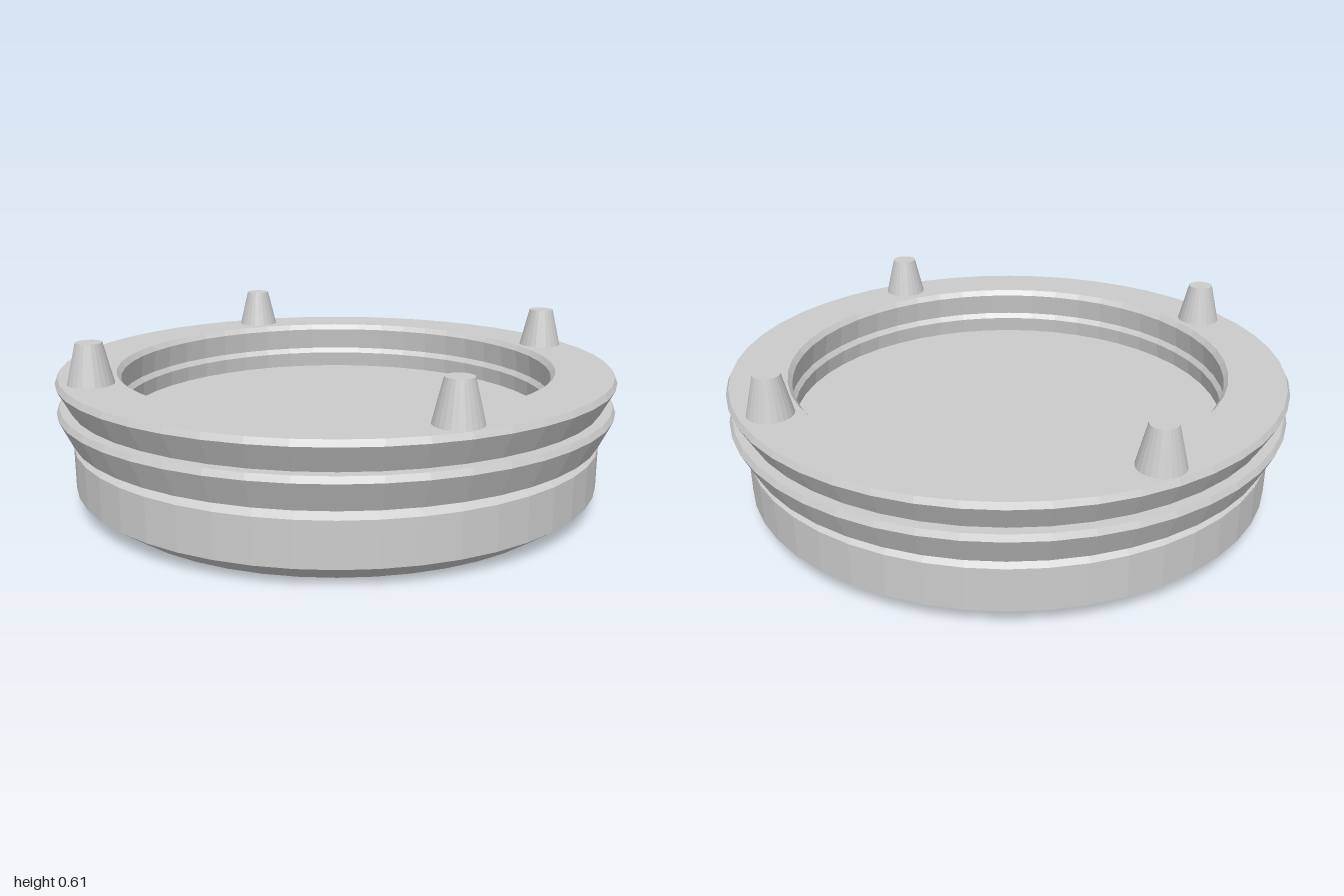
import * as THREE from 'three';

const SEGMENTS = 48;

// Faceted solid of revolution from [radius, height] pairs, listed upwards along the outside
function turned(name, profile, material) {
  const points = profile.map(([r, y]) => new THREE.Vector2(r, y));
  const mesh = new THREE.Mesh(new THREE.LatheGeometry(points, SEGMENTS), material);
  mesh.name = name;
  return mesh;
}

export function createModel() {
  const group = new THREE.Group();
  group.name = 'studdedDish';
  const material = new THREE.MeshStandardMaterial({ color: 0xcccccc, flatShading: true });

  // Solid base disc, chamfered at both edges
  group.add(turned('base', [
    [0, 0], [0.86, 0], [0.95, 0.065], [0.95, 0.215], [0.86, 0.28], [0, 0.28],
  ], material));

  // Two stacked rings, bevelled on top and tapering in towards the bottom
  const ringTops = [0.36, 0.465];
  ringTops.forEach((top, i) => {
    const bottom = top - 0.115 + i * 0.01;
    group.add(turned(i ? 'upperRing' : 'lowerRing', [
      [0.787, bottom], [0.955, bottom], [1, top - 0.02], [0.99, top],
      [0.79, top], [0.775, top - 0.02], [0.787, bottom],
    ], material));
  });

  // Four tapered pegs on the rim
  const pegGeometry = new THREE.CylinderGeometry(0.045, 0.08, 0.145, 24);
  const pegSpots = { left: [0.887, 0], right: [-0.887, 0], front: [0, 0.905], back: [0, -0.905] };
  for (const [side, [x, z]] of Object.entries(pegSpots)) {
    const peg = new THREE.Mesh(pegGeometry, material);
    peg.name = side + 'Peg';
    peg.position.set(x, 0.5325, z);
    group.add(peg);
  }

  return group;
}
